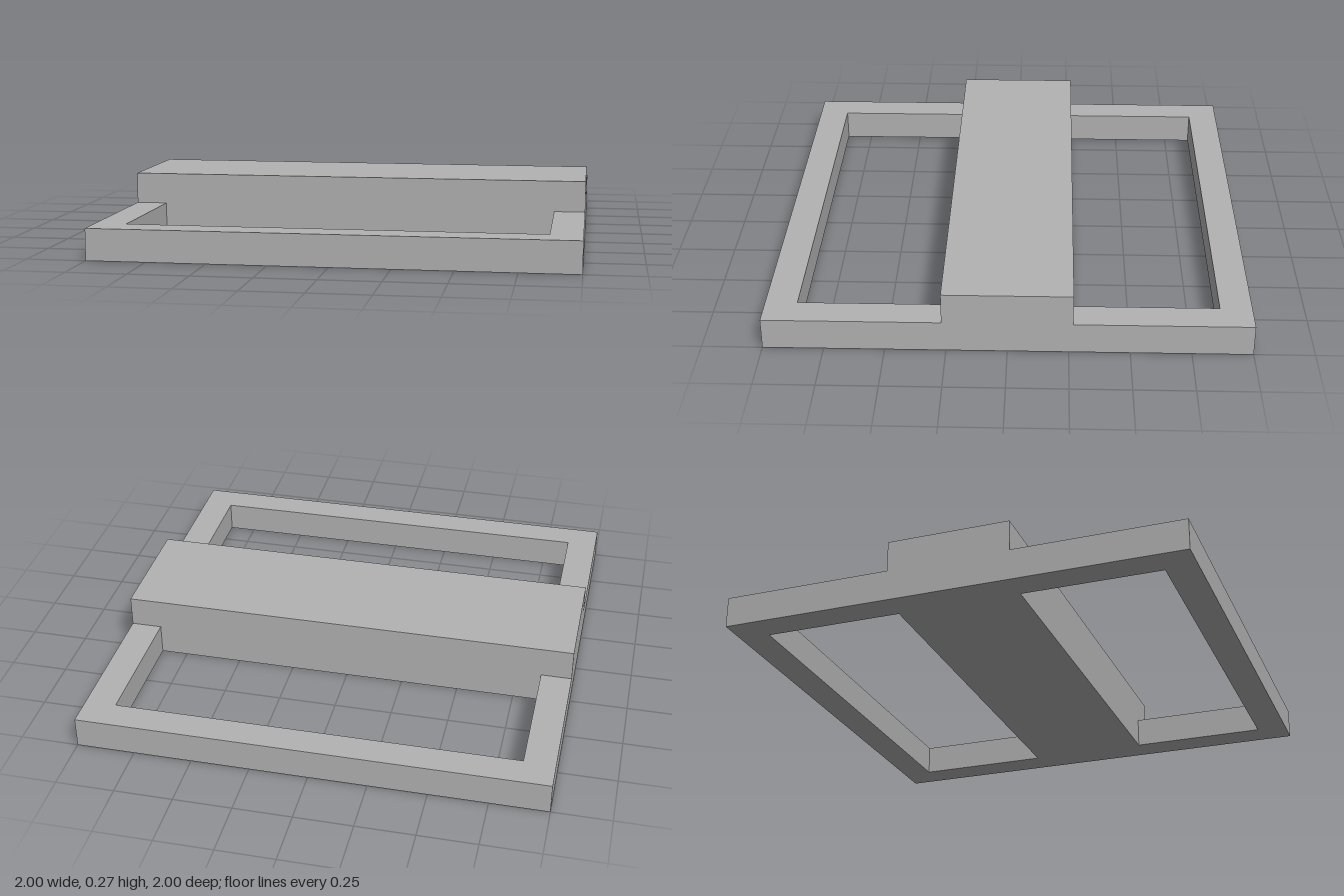
import * as THREE from 'three';

const HALF = 1;          // half of the square footprint
const RAIL = 2 / 15;     // rail width and height
const BAR = 4 / 15;      // bar height and half depth

export function createModel() {
  const model = new THREE.Group();
  model.name = 'frameWithCrossbar';
  const grey = new THREE.MeshStandardMaterial({ color: 0xb2b2b2 });
  grey.name = 'grey';

  // raised bar across the middle
  const bar = new THREE.Mesh(new THREE.BoxGeometry(2 * HALF, BAR, 2 * BAR), grey);
  bar.name = 'crossbar';
  bar.position.y = BAR / 2;
  model.add(bar);

  // U-shaped rail, open towards the bar
  const inner = HALF - RAIL;
  const outline = new THREE.Shape([
    [-HALF, -HALF], [HALF, -HALF], [HALF, -BAR], [inner, -BAR],
    [inner, -inner], [-inner, -inner], [-inner, -BAR], [-HALF, -BAR],
  ].map(([x, y]) => new THREE.Vector2(x, y)));
  const railGeometry = new THREE.ExtrudeGeometry(outline, { depth: RAIL, bevelEnabled: false });
  railGeometry.rotateX(-Math.PI / 2);

  // one rail in front, one turned round behind
  ['frontRail', 'backRail'].forEach((name, i) => {
    const rail = new THREE.Mesh(railGeometry, grey);
    rail.name = name;
    rail.rotation.y = i * Math.PI;
    model.add(rail);
  });
  return model;
}
